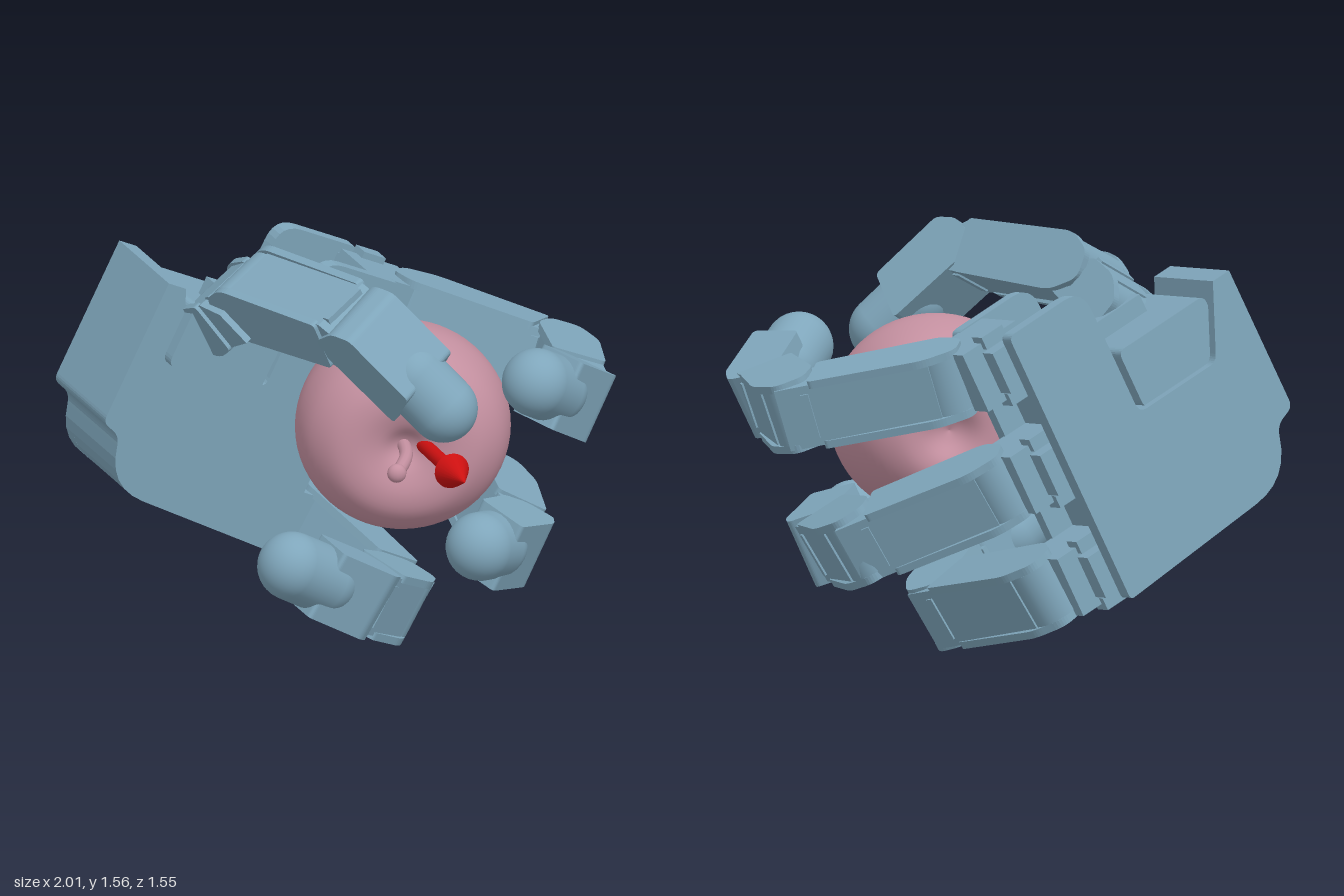
import * as THREE from 'three';

const V = (a) => new THREE.Vector3(...a);
const steel = new THREE.MeshStandardMaterial({ color: 0x7fa6bb });
const pink = new THREE.MeshStandardMaterial({ color: 0xc490a0 });
const red = new THREE.MeshStandardMaterial({ color: 0xcc1010 });

function add(parent, name, geo, mat, pos = [0, 0, 0]) {
  const m = new THREE.Mesh(geo, mat);
  m.name = name;
  m.position.set(...pos);
  parent.add(m);
  return m;
}

// Closed outline from [x, y, cornerRadius] points
function outline(pts) {
  const s = new THREE.Shape();
  pts.forEach(([x, y, r = 0], i) => {
    const p = new THREE.Vector2(x, y);
    const toward = (q) => new THREE.Vector2(q[0], q[1]).sub(p).setLength(r).add(p);
    const a = toward(pts[(i + pts.length - 1) % pts.length]);
    const b = toward(pts[(i + 1) % pts.length]);
    if (i === 0) s.moveTo(a.x, a.y); else s.lineTo(a.x, a.y);
    if (r > 0) s.quadraticCurveTo(x, y, b.x, b.y);
  });
  s.closePath();
  return s;
}

// Slab with an outline in XY, from z0 to z1
function slab(pts, z0, z1) {
  return new THREE.ExtrudeGeometry(outline(pts), { depth: z1 - z0, bevelEnabled: false, curveSegments: 6 })
    .translate(0, 0, z0);
}

// Group at a whose x runs to b, z along the hinge axis and y to the back of the finger
function frame(parent, name, a, b, axis) {
  const dir = V(b).sub(V(a)).normalize();
  const z = V(axis).addScaledVector(dir, -V(axis).dot(dir)).normalize();
  const g = new THREE.Group();
  g.name = name;
  g.applyMatrix4(new THREE.Matrix4().makeBasis(dir, z.clone().cross(dir), z));
  g.position.copy(V(a));
  parent.add(g);
  return { g, len: V(a).distanceTo(V(b)) };
}

// Finger segment: body, side covers, hinge and a raised rib
function link(parent, name, a, b, axis, w = 0.27) {
  const { g, len } = frame(parent, name, a, b, axis);
  add(g, 'linkBody', slab([
    [0.02, -0.1], [len - 0.09, -0.1], [len, -0.04], [len + 0.03, 0.1], [0.02, 0.1],
  ], 0.015 - w / 2, w / 2 - 0.015), steel);
  const cover = [
    [-0.09, -0.05, 0.03], [0, -0.115, 0.04], [len - 0.1, -0.105, 0.02],
    [len - 0.1, 0.105, 0.02], [0.03, 0.12, 0.04], [-0.09, 0.06, 0.04],
  ];
  for (const s of [-1, 1]) add(g, 'sideCover', slab(cover, -0.015, 0.015), steel, [0, 0, s * (w / 2 - 0.015)]);
  add(g, 'hinge', new THREE.CylinderGeometry(0.095, 0.095, w - 0.06, 24).rotateX(Math.PI / 2), steel);
  add(g, 'rib', new THREE.BoxGeometry(0.03, 0.215, w * 0.65), steel, [len - 0.08, 0, 0]);
}

// Last segment: housing with a round pad at its end
function fingertip(parent, a, b, axis, house, r = 0.128) {
  const { g, len } = frame(parent, 'fingertip', a, b, axis);
  add(g, 'tipHousing', slab([
    [-0.09, -0.04, 0.03], [-0.03, -0.105, 0.02], [house - 0.03, -0.105, 0.02],
    [house + 0.01, 0.105, 0.02], [-0.04, 0.115, 0.02], [-0.1, 0.08, 0.02],
  ], -0.135, 0.135), steel);
  const body = len - house + 0.06;
  add(g, 'tipPad', new THREE.CapsuleGeometry(r, body, 12, 32).rotateZ(Math.PI / 2), steel, [len - body / 2, 0, 0]);
}

function buildPalm(hand) {
  const palm = new THREE.Group();
  palm.name = 'palm';
  // x: wrist to fingers, y: across the palm toward the thumb, z: out of the palm
  const y = V([0.43, 0.9, -0.065]).normalize();
  const x = V([0.845, -0.427, -0.32]);
  x.addScaledVector(y, -x.dot(y)).normalize();
  palm.applyMatrix4(new THREE.Matrix4().makeBasis(x, y, x.clone().cross(y)));
  palm.position.set(-0.32, 0.265, -0.7);
  hand.add(palm);

  // Back and front plates, with the thumb notch and the stepped wrist
  const notch = [[-0.36, 0.59, 0.04], [-0.74, 0.59, 0.03], [-0.87, 0.86]];
  const wrist = [[-0.95, 0.86], [-0.95, 0.28, 0.03], [-0.86, 0.25, 0.04], [-0.81, 0.05, 0.17]];
  const plate = [[0, 0, 0.02], [0, 1.12, 0.03], [-0.36, 1.12, 0.09], ...notch, ...wrist];
  add(palm, 'backPlate', slab(plate, 0, 0.06), steel);
  add(palm, 'frontPlate', slab(plate, 0.36, 0.41), steel);
  // Filling between the plates, set back under the fingers and at the thumb side
  add(palm, 'palmCore', slab([[-0.1, 0.01], [-0.1, 1.0], [-0.36, 1.0], ...notch, ...wrist], 0.06, 0.36), steel);

  // Finger motors between the plates
  for (const v of [0.125, 0.56, 0.995]) {
    add(palm, 'fingerMount', new THREE.BoxGeometry(0.26, 0.24, 0.24), steel, [0.01, v, 0.25]);
    add(palm, 'mountStep', new THREE.BoxGeometry(0.14, 0.17, 0.1), steel, [-0.01, v, 0.11]);
    for (const s of [-1, 1]) add(palm, 'mountLug', new THREE.BoxGeometry(0.1, 0.05, 0.07), steel, [0, v + s * 0.12, 0.14]);
  }

  // Thumb motor seated in the notch
  add(palm, 'thumbMotor', slab([
    [-0.41, 0.57, 0.04], [-0.41, 0.82, 0.03], [-0.83, 0.82, 0.03], [-0.83, 0.57, 0.04],
  ], 0.04, 0.46), steel);
  add(palm, 'motorCap', new THREE.BoxGeometry(0.26, 0.16, 0.08), steel, [-0.58, 0.8, 0.48]);
  add(palm, 'motorFlange', new THREE.BoxGeometry(0.28, 0.1, 0.26), steel, [-0.56, 0.84, 0.38]);
}

function buildApple(root) {
  // Profile from the bottom dimple round to the stem dimple
  const pts = [
    [0, -0.27], [0.05, -0.29], [0.12, -0.335], [0.2, -0.335], [0.29, -0.27], [0.36, -0.15], [0.395, 0],
    [0.395, 0.12], [0.36, 0.24], [0.28, 0.33], [0.19, 0.355], [0.1, 0.335], [0.04, 0.295], [0, 0.28],
  ].map((p) => new THREE.Vector2(...p));
  const profile = new THREE.SplineCurve(pts).getPoints(56);
  profile[0].x = profile[56].x = 0;
  const apple = new THREE.Group();
  apple.name = 'apple';
  apple.position.set(0.235, 0.86, 0.02);
  apple.quaternion.setFromUnitVectors(V([0, 1, 0]), V([-0.1, 0.02, 1]).normalize());
  root.add(apple);
  const fruit = add(apple, 'fruit', new THREE.LatheGeometry(profile, 64), pink);
  fruit.scale.z = 0.95;
  const stem = new THREE.CatmullRomCurve3([[0.2, 0.87, 0.24], [0.195, 0.86, 0.4], [0.14, 0.845, 0.55]].map(V));
  add(root, 'stem', new THREE.TubeGeometry(stem, 16, 0.025, 12), pink);
  const knob = add(root, 'stemEnd', new THREE.SphereGeometry(0.036, 16, 12), pink, [0.14, 0.845, 0.54]);
  knob.scale.set(1, 1, 0.8);
}

function buildArrow(root) {
  const arrow = new THREE.Group();
  arrow.name = 'arrow';
  arrow.position.set(0.215, 0.855, 0);
  arrow.quaternion.setFromUnitVectors(V([0, 1, 0]), V([0.145, 0.027, 0.775]).normalize());
  root.add(arrow);
  add(arrow, 'arrowShaft', new THREE.CylinderGeometry(0.028, 0.028, 0.65, 24), red, [0, 0.325, 0]);
  add(arrow, 'arrowHead', new THREE.ConeGeometry(0.067, 0.15, 24), red, [0, 0.715, 0]);
}

export function createModel() {
  const root = new THREE.Group();
  root.name = 'handHoldingApple';
  const hand = new THREE.Group();
  hand.name = 'roboticHand';
  root.add(hand);
  buildPalm(hand);

  // Each finger: housing length, hinge axis and its joints from the palm to the tip centre
  const fingers = [
    ['firstFinger', 0.21, [0.33, 0.94, -0.08], [[0.345, 1.08, -0.53], [0.85, 0.95, -0.26], [0.85, 0.965, 0.14], [0.69, 1.1, 0.34]]],
    ['middleFinger', 0.2, [0.48, 0.86, -0.1], [[0.155, 0.675, -0.53], [0.6, 0.445, -0.26], [0.62, 0.405, 0.14], [0.48, 0.465, 0.34]]],
    ['lastFinger', 0.23, [0.47, 0.87, -0.08], [[-0.035, 0.285, -0.5], [0.21, 0.155, 0.03], [0.02, 0.28, 0.26], [-0.235, 0.455, 0.42]]],
  ];
  for (const [name, house, axis, j] of fingers) {
    const g = new THREE.Group();
    g.name = name;
    hand.add(g);
    link(g, 'proximalLink', j[0], j[1], axis);
    link(g, 'middleLink', j[1], j[2], axis);
    fingertip(g, j[2], j[3], axis, house);
  }

  // Thumb, opposing the fingers from above
  const thumb = new THREE.Group();
  thumb.name = 'thumb';
  hand.add(thumb);
  const axis = [0.73, 0.43, -0.54];
  link(thumb, 'thumbBase', [-0.4, 1.26, -0.18], [-0.33, 1.36, 0.02], axis, 0.3);
  link(thumb, 'thumbLink', [-0.32, 1.39, 0.0], [0.03, 1.4, 0.5], axis, 0.28);
  fingertip(thumb, [0.03, 1.4, 0.5], [0.305, 1.115, 0.6], axis, 0.31);

  buildApple(root);
  buildArrow(root);
  return root;
}
